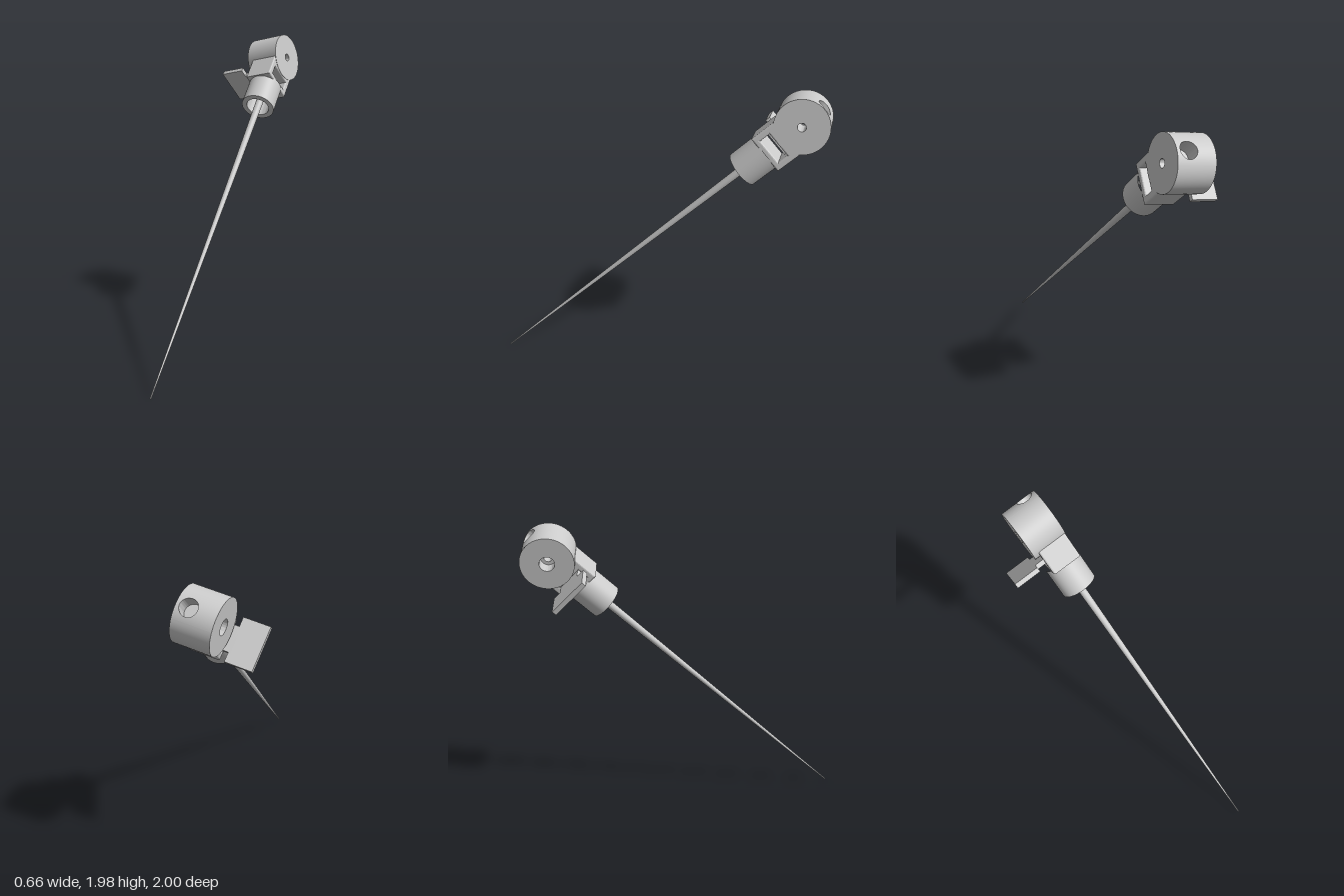
import * as THREE from 'three';
import { toCreasedNormals } from 'three/addons/utils/BufferGeometryUtils.js';

const grey = new THREE.MeshStandardMaterial({ color: 0xcccccc });
const greyOpen = new THREE.MeshStandardMaterial({ color: 0xcccccc, side: THREE.DoubleSide });

function add(parent, name, geometry, material = grey) {
  const mesh = new THREE.Mesh(geometry, material);
  mesh.name = name;
  parent.add(mesh);
  return mesh;
}

// Grid surface: fn(i, j) gives the point in column i, row j
function grid(nu, nv, fn) {
  const pos = [], idx = [];
  for (let j = 0; j <= nv; j++) for (let i = 0; i <= nu; i++) pos.push(...fn(i, j));
  for (let j = 0; j < nv; j++) for (let i = 0; i < nu; i++) {
    const a = j * (nu + 1) + i, b = a + nu + 1;
    idx.push(a, a + 1, b, a + 1, b + 1, b);
  }
  const g = new THREE.BufferGeometry();
  g.setAttribute('position', new THREE.Float32BufferAttribute(pos, 3));
  g.setIndex(idx);
  g.computeVertexNormals();
  return g;
}

function lathe(points, segments = 64) {
  const g = new THREE.LatheGeometry(points.map(([r, y]) => new THREE.Vector2(r, y)), segments);
  return toCreasedNormals(g, 0.6);
}

function rect(target, w, y0, y1) {
  target.moveTo(-w, y0);
  target.lineTo(w, y0);
  target.lineTo(w, y1);
  target.lineTo(-w, y1);
  target.closePath();
  return target;
}

// Drum lying along x, with axial holes in the ends and a radial bore on top
function makeDrum(x0, x1, R) {
  const drum = new THREE.Group();
  drum.name = 'drum';
  const ends = lathe([[R, x1], [0.025, x1], [0.025, -0.04], [0.045, -0.04], [0.045, x0], [R, x0]], 96);
  add(drum, 'drumEnds', ends.rotateZ(-Math.PI / 2));

  const half = 0.5, hx = 0.03, hr = 0.05;
  const onWall = (x, t) => [x, R * Math.cos(t), R * Math.sin(t)];
  add(drum, 'drumWall', grid(80, 1, (i, j) =>
    onWall(j ? x1 : x0, half + (i / 80) * (2 * Math.PI - 2 * half))), greyOpen);

  // Wall patch around the bore, from the round rim out to a rectangle
  const n = 16;
  const corners = [[x1, -half], [x1, half], [x0, half], [x0, -half]];
  const border = (i) => {
    const s = Math.floor(i / n) % 4, f = (i % n) / n, a = corners[s], b = corners[(s + 1) % 4];
    return [a[0] + (b[0] - a[0]) * f, a[1] + (b[1] - a[1]) * f];
  };
  const rim = (i) => {
    const [x, t] = border(i), a = Math.atan2(t * R, x - hx);
    return [hx + hr * Math.cos(a), Math.asin(hr * Math.sin(a) / R)];
  };
  add(drum, 'borePatch', grid(4 * n, 8, (i, j) => {
    const a = rim(i), b = border(i), f = j / 8;
    return onWall(a[0] + (b[0] - a[0]) * f, a[1] + (b[1] - a[1]) * f);
  }), greyOpen);
  const bore = grid(4 * n, 2, (i, j) => {
    const [x, y, z] = onWall(...rim(i));
    return j === 0 ? [x, y, z] : j === 1 ? [x, 0.06, z] : [hx, 0.06, 0];
  });
  add(drum, 'radialBore', toCreasedNormals(bore, 0.6), greyOpen);
  return drum;
}

export function createModel() {
  const root = new THREE.Group();
  root.name = 'needleTool';

  // Tool is built upright along y with its tip at the origin, then tilted
  const tool = new THREE.Group();
  tool.name = 'tiltedTool';
  root.add(tool);

  // Tapered needle
  const needleLength = 2.32;
  add(tool, 'needle', new THREE.CylinderGeometry(0.026, 0.004, needleLength, 24)
    .translate(0, needleLength / 2, 0));

  // Hollow socket around the needle root
  add(tool, 'socket', lathe([[0, 2.3], [0.077, 2.3], [0.077, 2.147], [0.111, 2.147], [0.111, 2.345]]));

  // Neck block with a slot cut through it sideways
  const bevel = 0.01, x0 = -0.09, x1 = 0.098;
  const profile = rect(new THREE.Shape(), 0.12, 2.333, 2.5);
  profile.holes.push(rect(new THREE.Path(), 0.08, 2.37, 2.435));
  const block = new THREE.ExtrudeGeometry(profile, {
    depth: x1 - x0 - 2 * bevel, bevelEnabled: true, bevelThickness: bevel,
    bevelSize: bevel, bevelOffset: -bevel, bevelSegments: 3,
  });
  add(tool, 'neckBlock', block.rotateY(Math.PI / 2).translate(x0 + bevel, 0, 0));

  // Drum head
  const drum = makeDrum(-0.125, 0.1, 0.16);
  drum.position.y = 2.603;
  tool.add(drum);

  // Lever: tongue in the slot and a flat thumb plate outside
  const lever = new THREE.Group();
  lever.name = 'lever';
  lever.position.set(0, 2.418, -0.005);
  add(lever, 'leverTongue', new THREE.BoxGeometry(0.17, 0.03, 0.15)).position.x = -0.075;
  add(lever, 'thumbPlate', new THREE.BoxGeometry(0.16, 0.03, 0.26)).position.x = -0.225;
  tool.add(lever);

  // Tilt: local y runs from the tip up and back
  const up = new THREE.Vector3(-0.142, 0.694, -0.706).normalize();
  const front = new THREE.Vector3(0.985, 0.17, -0.035).cross(up).normalize();
  const side = new THREE.Vector3().crossVectors(up, front);
  tool.quaternion.setFromRotationMatrix(new THREE.Matrix4().makeBasis(side, up, front));
  tool.position.set(0.325, 0.003, 0.997);
  return root;
}
